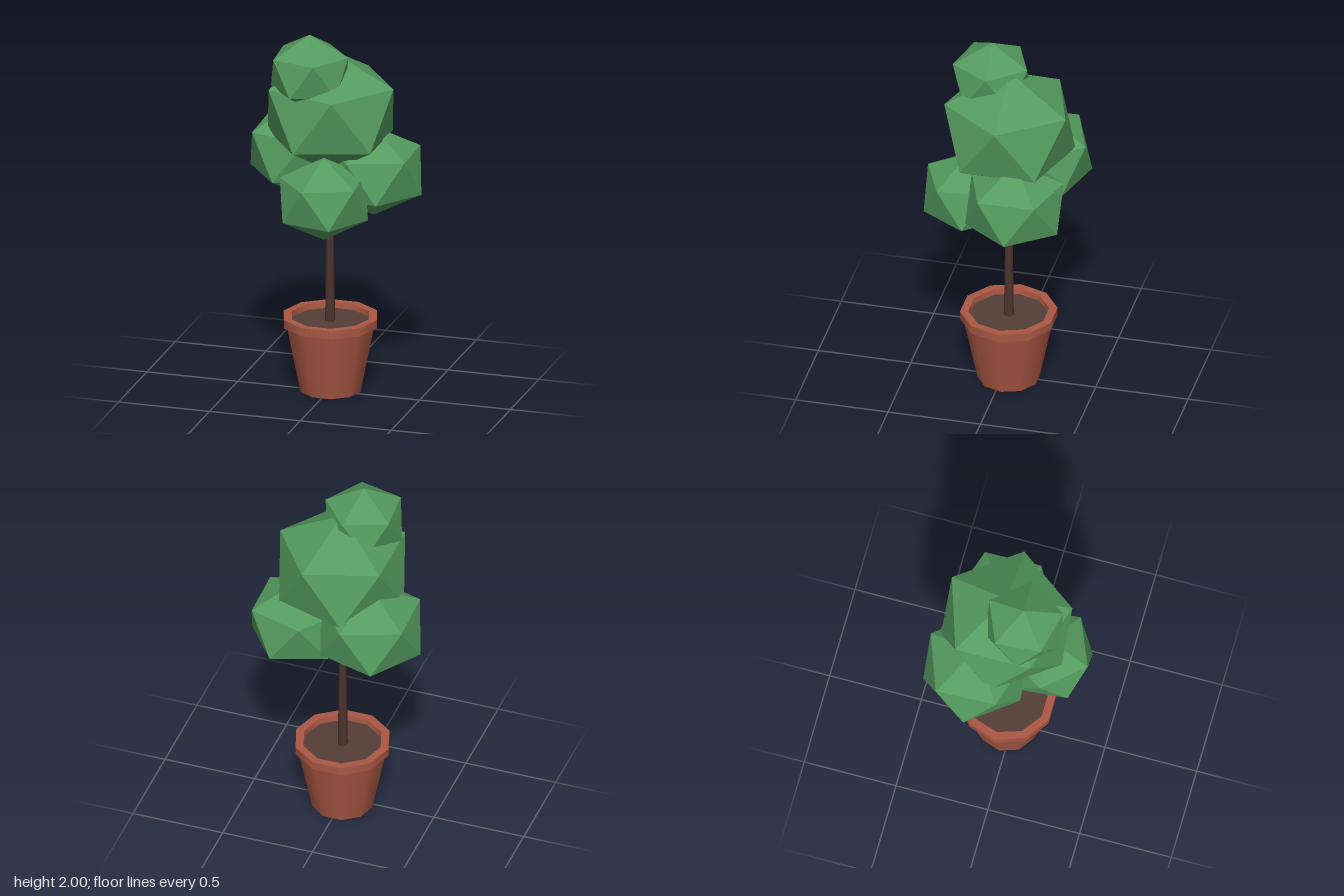
import * as THREE from 'three';

const material = (name, color) => {
  const m = new THREE.MeshStandardMaterial({ color });
  m.name = name;
  return m;
};

export function createModel() {
  const model = new THREE.Group();
  model.name = 'pottedTree';

  const terracotta = material('terracotta', 0xa95743);
  const earth = material('earth', 0x543e37);
  const bark = material('bark', 0x4e362f);
  const leaf = material('leaf', 0x559c5f);

  const axisZ = -0.03;
  const add = (parent, name, geometry, mat) => {
    const mesh = new THREE.Mesh(geometry, mat);
    mesh.name = name;
    parent.add(mesh);
    return mesh;
  };

  // One ten-sided ring per profile segment keeps the profile corners sharp
  const band = (a, b) => new THREE.LatheGeometry(
    [new THREE.Vector2(...a), new THREE.Vector2(...b)], 10, Math.PI / 2);

  // Pot: base, tapered wall, rim underside, rim, rim top, inner wall
  const pot = new THREE.Group();
  pot.name = 'pot';
  pot.position.z = axisZ;
  model.add(pot);
  const profile = [
    [0, 0], [0.165, 0], [0.24, 0.365], [0.257, 0.365],
    [0.257, 0.41], [0.213, 0.41], [0.208, 0.378],
  ];
  const names = ['potBase', 'potWall', 'rimUnderside', 'rimSide', 'rimTop', 'innerWall'];
  names.forEach((name, i) => add(pot, name, band(profile[i], profile[i + 1]), terracotta));
  add(pot, 'soil', band([0.21, 0.38], [0, 0.38]), earth);

  // Slender tapered trunk
  const trunk = add(model, 'trunk', new THREE.CylinderGeometry(0.014, 0.027, 1.0, 6), bark);
  trunk.position.set(-0.002, 0.87, axisZ);

  // Foliage clumps: icosahedra standing on a vertex, slightly flattened
  // [name, x, y, z, ring radius, half height, ring angle in degrees]
  const clumps = [
    ['mainFoliage', 0, 1.55, -0.035, 0.345, 0.335, 0],
    ['topFoliage', -0.08, 1.795, 0.081, 0.208, 0.205, -4.5],
    ['frontFoliage', 0.03, 1.132, 0.182, 0.237, 0.228, 31],
    ['rightFoliage', -0.198, 1.283, -0.15, 0.276, 0.263, -1.8],
    ['leftFoliage', 0.213, 1.21, -0.113, 0.26, 0.246, 34.8],
  ];
  const tilt = Math.atan(2 / (1 + Math.sqrt(5)));
  for (const [name, x, y, z, ring, half, angle] of clumps) {
    const g = new THREE.IcosahedronGeometry(1, 0);
    g.rotateZ(-tilt);
    g.rotateY(-THREE.MathUtils.degToRad(angle));
    const wide = ring / (2 / Math.sqrt(5));
    g.scale(wide, half, wide);
    add(model, name, g, leaf).position.set(x, y, z);
  }

  return model;
}
